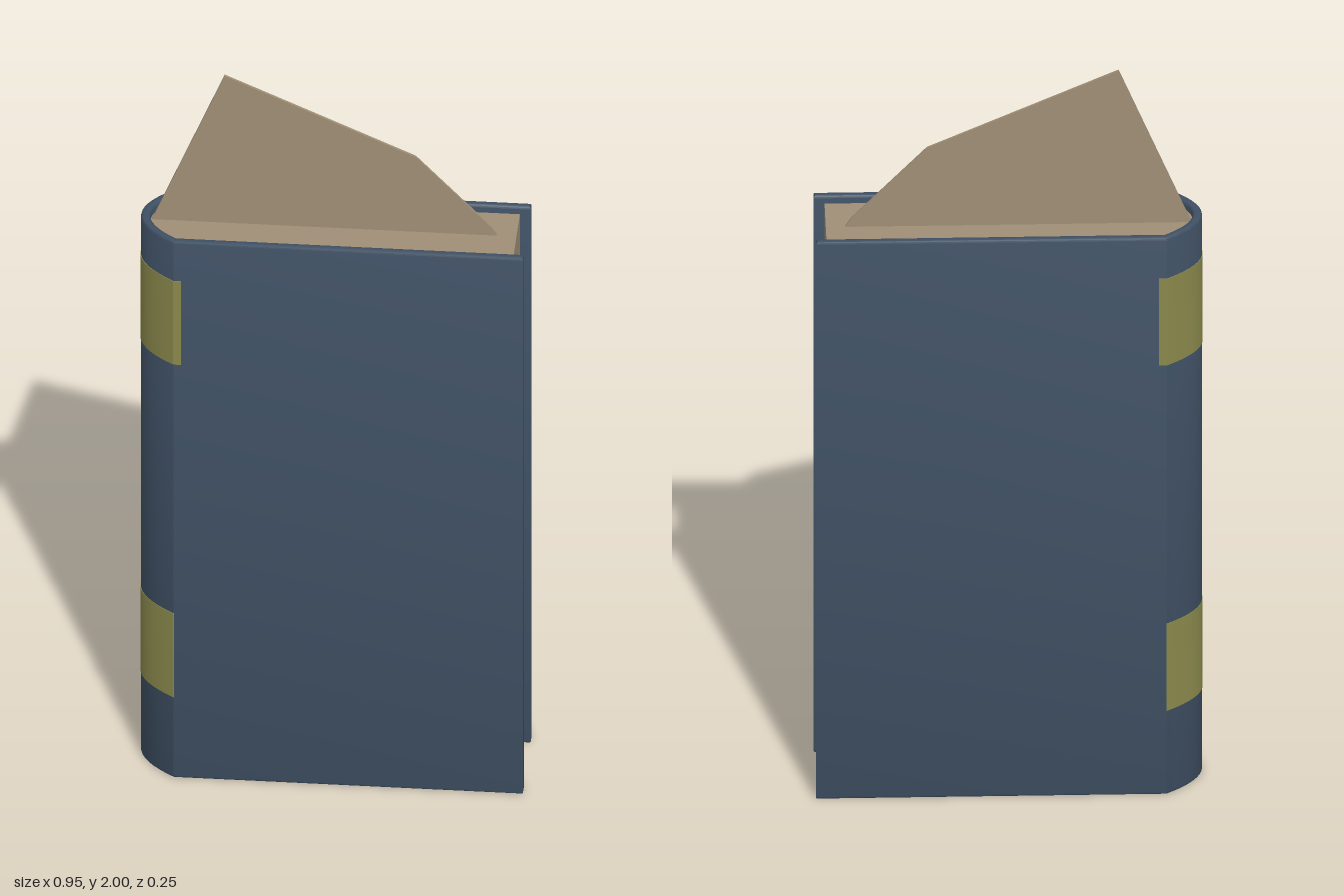
import * as THREE from 'three';
import { toCreasedNormals } from 'three/addons/utils/BufferGeometryUtils.js';

const HEIGHT = 1.588;

function material(name, color) {
  const m = new THREE.MeshStandardMaterial({ color });
  m.name = name;
  return m;
}

// Traces a U: straight from x = end, around the curved spine, and back
function traceSpine(shape, end, corner, apex, halfDepth, reverse = false) {
  const z = reverse ? -halfDepth : halfDepth;
  shape.lineTo(end, z);
  shape.lineTo(corner, z);
  shape.quadraticCurveTo(2 * apex - corner, 0, corner, -z);
  shape.lineTo(end, -z);
}

// Stands a plan outline up from y0 to y1, with small rounded edges if asked
function upright(shape, y0, y1, bevel = 0) {
  const geometry = new THREE.ExtrudeGeometry(shape, {
    depth: y1 - y0 - 2 * bevel, curveSegments: 16, bevelEnabled: bevel > 0,
    bevelSize: bevel, bevelThickness: bevel, bevelOffset: -bevel, bevelSegments: 3,
  });
  geometry.rotateX(-Math.PI / 2).translate(0, y0 + bevel, 0);
  return toCreasedNormals(geometry, 0.6);
}

export function createModel() {
  const book = new THREE.Group();
  book.name = 'book';
  const coverBlue = material('cover blue', 0x3f5064);
  const paper = material('paper', 0xa08f76);
  const bandOlive = material('band olive', 0x8a894c);

  const add = (name, geometry, mat) => {
    const mesh = new THREE.Mesh(geometry, mat);
    mesh.name = name;
    book.add(mesh);
  };

  // Boards and rounded spine in one piece
  const cover = new THREE.Shape();
  cover.moveTo(0.475, 0.122);
  traceSpine(cover, 0.475, -0.385, -0.475, 0.122);
  traceSpine(cover, 0.475, -0.38, -0.452, 0.102, true);
  add('cover', upright(cover, 0, HEIGHT, 0.007), coverBlue);

  // Page block, inset at the top, bottom and fore edge
  const pages = new THREE.Shape();
  pages.moveTo(0.448, 0.103);
  traceSpine(pages, 0.448, -0.381, -0.454, 0.103);
  add('pageBlock', upright(pages, 0.025, 1.566), paper);

  // Thin bands wrapped around the spine
  for (const [name, y0, y1, end] of [
    ['upperBand', 1.225, 1.472, -0.366],
    ['lowerBand', 0.24, 0.488, -0.384],
  ]) {
    const band = new THREE.Shape();
    band.moveTo(end, 0.1235);
    traceSpine(band, end, -0.3855, -0.4765, 0.1235);
    traceSpine(band, end, -0.384, -0.472, 0.12, true);
    add(name, upright(band, y0, y1), bandOlive);
  }

  // Loose sheet sticking out of the top
  const sheet = new THREE.Shape([
    [-0.455, 1.55], [0.41, 1.55], [0.385, 1.59], [0.2, 1.787], [-0.27, 2],
  ].map(([x, y]) => new THREE.Vector2(x, y)));
  const sheetGeometry = new THREE.ExtrudeGeometry(sheet, { depth: 0.007, bevelEnabled: false });
  sheetGeometry.translate(0, 0, -0.011);
  add('looseSheet', sheetGeometry, paper);

  return book;
}
